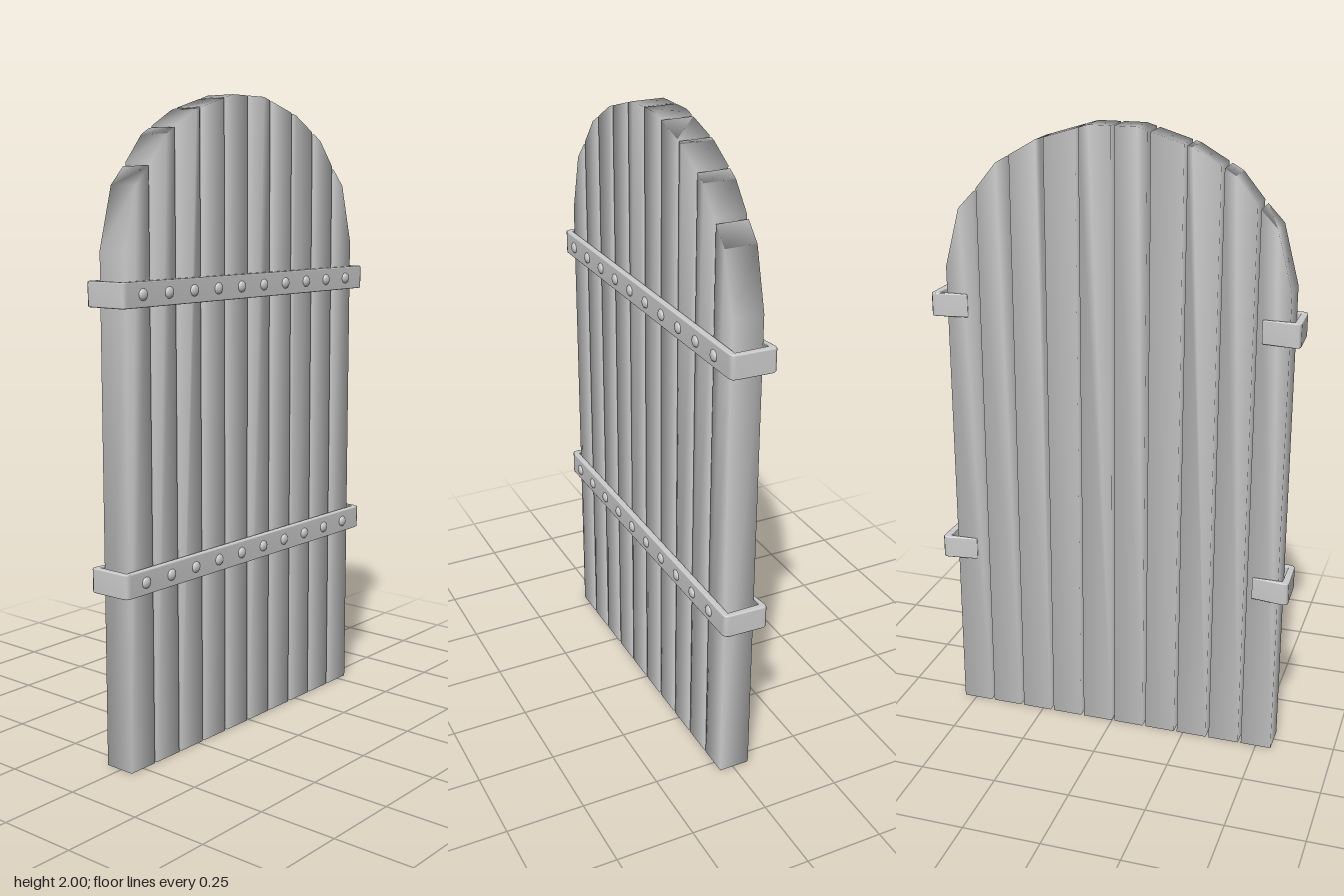
import * as THREE from 'three';
import { mergeVertices } from 'three/addons/utils/BufferGeometryUtils.js';

const material = new THREE.MeshStandardMaterial({ color: 0xcccccc });

// Weld all corners so the shading runs smoothly around each part.
function smooth(geometry) {
  geometry.deleteAttribute('normal');
  geometry.deleteAttribute('uv');
  const welded = mergeVertices(geometry, 1e-4);
  welded.computeVertexNormals();
  return welded;
}

function addMesh(parent, geometry, name) {
  const mesh = new THREE.Mesh(geometry, material);
  mesh.name = name;
  parent.add(mesh);
  return mesh;
}

// Arched outline: distance from the door's middle, height.
const arch = [[0, 2], [0.075, 2], [0.24, 1.95], [0.37, 1.875], [0.44, 1.79], [0.497, 1.73], [0.545, 1.545]];

function archHeight(d) {
  d = Math.abs(d);
  for (let i = 1; i < arch.length; i++) {
    const [d0, h0] = arch[i - 1], [d1, h1] = arch[i];
    if (d <= d1) return h0 + (h1 - h0) * (d - d0) / (d1 - d0);
  }
  return arch[arch.length - 1][1];
}

// Upright board whose top follows the arch.
function plankGeometry(center, width, depth) {
  const a = center - width / 2, b = center + width / 2;
  const breaks = arch.flatMap(([d]) => [d, -d]).filter(d => d > a + 0.004 && d < b - 0.004);
  const tops = [...new Set([a, ...breaks, b])].sort((p, q) => q - p);
  const points = [[a, 0], [b, 0], ...tops.map(d => [d, archHeight(d)])];
  const shape = new THREE.Shape(points.map(p => new THREE.Vector2(...p)));
  const geometry = new THREE.ExtrudeGeometry(shape, { depth, bevelEnabled: false });
  geometry.rotateY(Math.PI / 2);
  return smooth(geometry);
}

// Flat iron band wrapping the front and hooking round both edges.
function strapGeometry(height) {
  const bevel = 0.004;
  const half = [ // x, distance from middle
    [0.046, 0.564], [-0.057, 0.564], [-0.057, 0.47], [-0.063, 0.47],
    [-0.077, 0.57], [-0.075, 0.582], [-0.066, 0.588], [0.05, 0.584], [0.062, 0.58], [0.067, 0.566],
  ];
  const points = [...half, ...half.map(([x, d]) => [x, -d]).reverse()];
  const shape = new THREE.Shape(points.map(p => new THREE.Vector2(...p)));
  const geometry = new THREE.ExtrudeGeometry(shape, {
    depth: height - 2 * bevel, bevelThickness: bevel, bevelSize: bevel, bevelOffset: -bevel, bevelSegments: 2,
  });
  geometry.rotateX(-Math.PI / 2);
  geometry.translate(0, bevel - height / 2, 0);
  return smooth(geometry);
}

export function createModel() {
  const door = new THREE.Group();
  door.name = 'archedDoor';
  const count = 10, pitch = 0.1102;

  // Boards
  const planks = new THREE.Group();
  planks.name = 'planks';
  door.add(planks);
  for (let i = 0; i < count; i++) {
    const plank = addMesh(planks, plankGeometry((i - (count - 1) / 2) * pitch, 0.1, 0.1), 'plank');
    plank.position.set(-0.055, 0, 0.004);
  }

  // Straps, each with a row of domed rivets
  const strap = strapGeometry(0.075);
  const dome = new THREE.SphereGeometry(1, 14, 5, 0, Math.PI * 2, 0, Math.PI / 2);
  dome.scale(0.018, 0.01, 0.018).rotateZ(-Math.PI / 2);
  for (const y of [0.582, 1.424]) {
    const band = new THREE.Group();
    band.name = 'strap';
    band.position.set(0, y, -0.002);
    door.add(band);
    addMesh(band, strap, 'strapBand');
    for (let i = 0; i < count; i++) {
      addMesh(band, dome, 'rivet').position.set(0.066, 0, 0.01 + (i - (count - 1) / 2) * 0.1095);
    }
  }
  return door;
}
